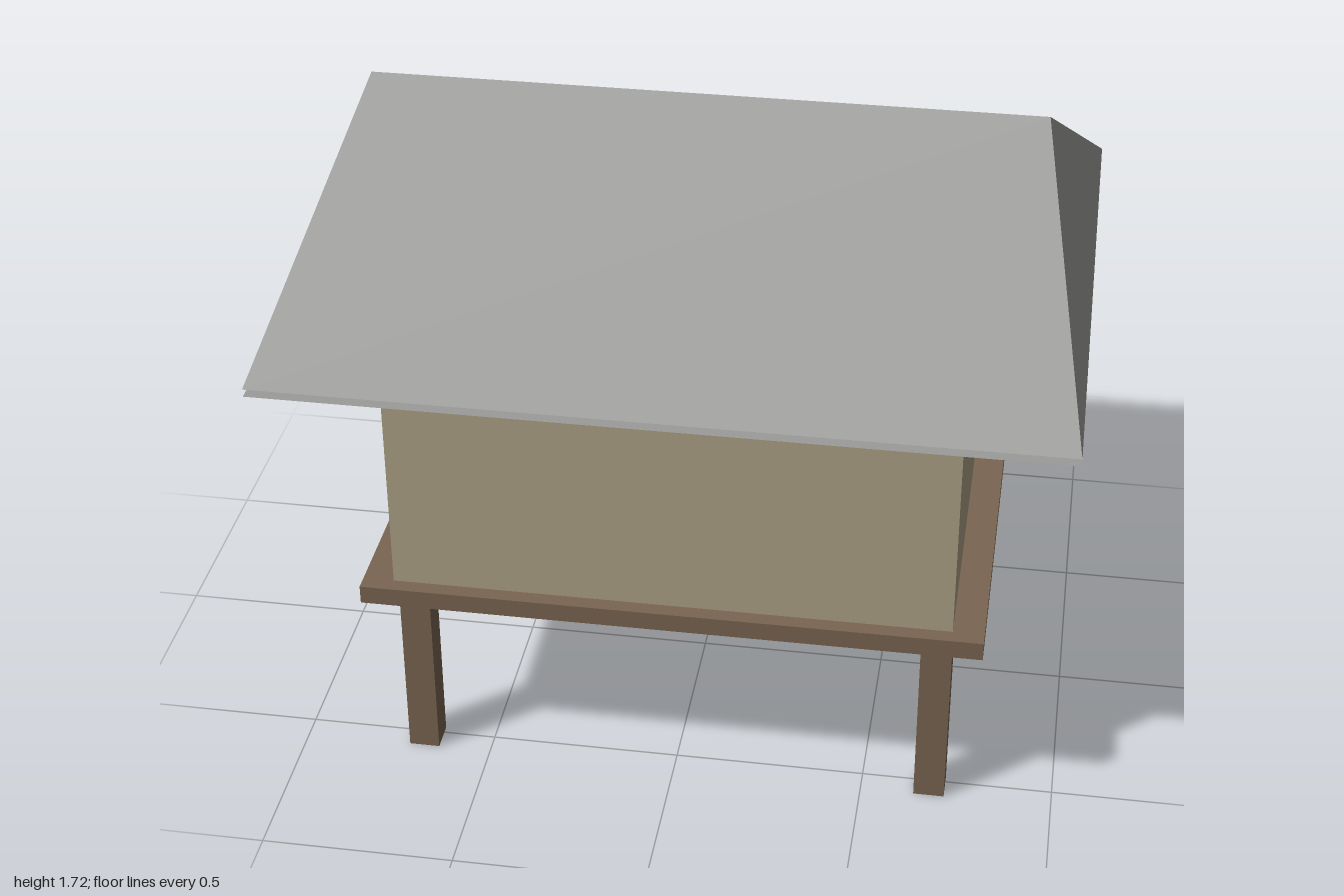
import * as THREE from 'three';

const mat = (name, color, side = THREE.FrontSide) => {
  const m = new THREE.MeshStandardMaterial({ color, side });
  m.name = name;
  return m;
};

export function createModel() {
  const group = new THREE.Group();
  const wood = mat('brown wood', 0x7a6551);
  const plaster = mat('tan wall', 0xaea287);
  const slate = mat('grey roof', 0x9b9c9a, THREE.DoubleSide);

  const add = (name, geometry, material, x = 0, y = 0, z = 0) => {
    const mesh = new THREE.Mesh(geometry, material);
    mesh.name = name;
    mesh.position.set(x, y, z);
    group.add(mesh);
    return mesh;
  };

  // Four stilts under the floor
  for (const sx of [-1, 1]) {
    for (const sz of [-1, 1]) {
      add('stilt', new THREE.BoxGeometry(0.08, 0.52, 0.08), wood, sx * 0.68, 0.26, sz * 0.52);
    }
  }

  // Floor platform and walls
  add('platform', new THREE.BoxGeometry(1.6, 0.05, 1.28), wood, 0, 0.545, 0);
  add('walls', new THREE.BoxGeometry(1.44, 0.675, 1.2), plaster, 0, 0.9075, 0);

  // Hipped roof shell: two long slopes and two steep end triangles
  const eave = 1.245, top = 1.72;
  const fl = [-1, eave, 0.8], fr = [1, eave, 0.8];
  const bl = [-1, eave, -0.8], br = [1, eave, -0.8];
  const rl = [-0.86, top, 0], rr = [0.86, top, 0];
  const corners = [
    fl, fr, rr, fl, rr, rl, // front slope
    br, bl, rl, br, rl, rr, // back slope
    fr, br, rr,             // left end
    bl, fl, rl,             // right end
  ];
  const roof = new THREE.BufferGeometry();
  roof.setAttribute('position', new THREE.Float32BufferAttribute(corners.flat(), 3));
  roof.computeVertexNormals();
  add('roof', roof, slate);

  // Thin ceiling sheet just under the eaves
  add('soffit', new THREE.PlaneGeometry(2, 1.6).rotateX(-Math.PI / 2), slate, 0, 1.225, 0);

  return group;
}
